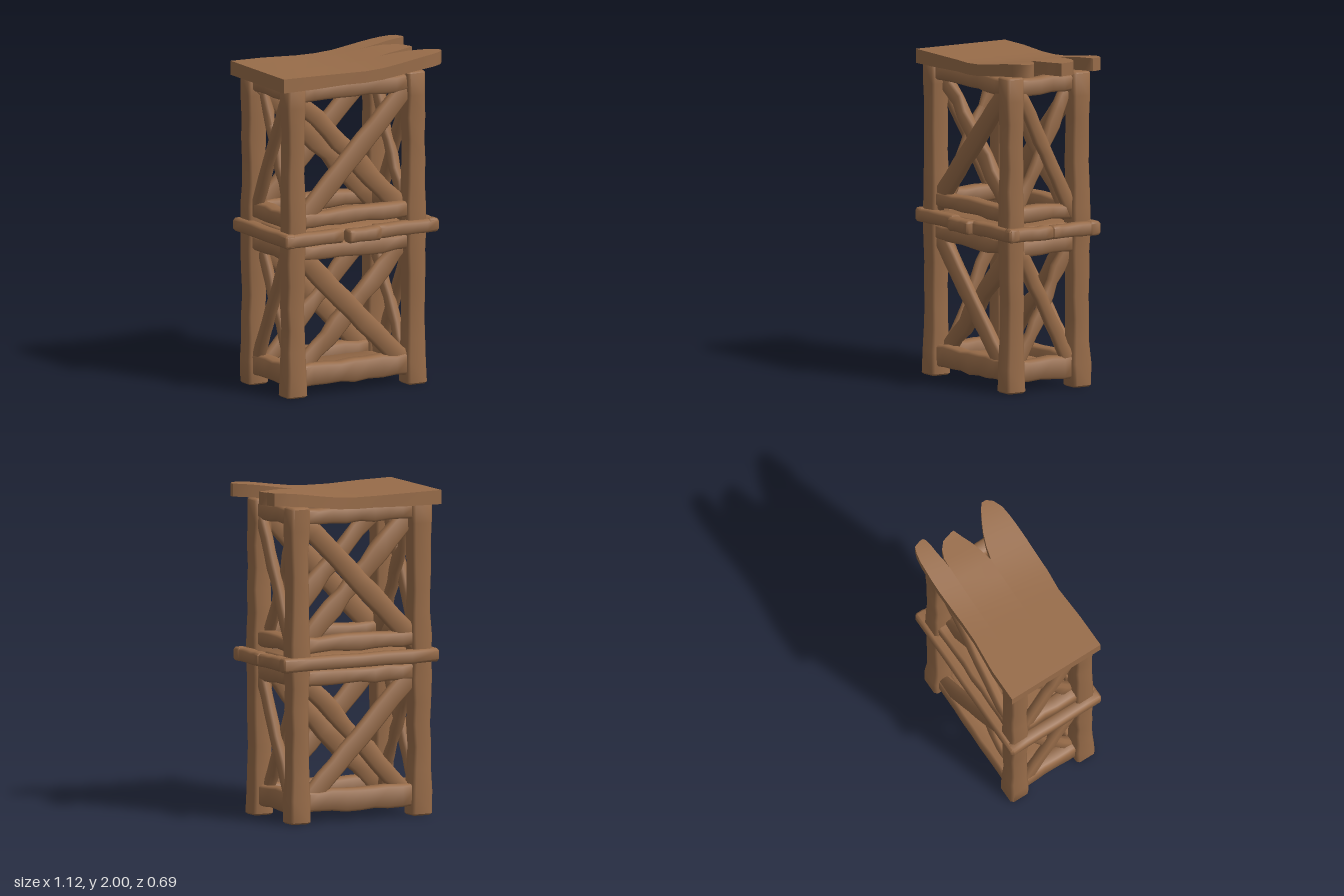
import * as THREE from 'three';
import { toCreasedNormals } from 'three/addons/utils/BufferGeometryUtils.js';

const wood = new THREE.MeshStandardMaterial({ color: 0x986c49 });
wood.name = 'wood';

const V = (x, y, z) => new THREE.Vector3(x, y, z);
const smooth = THREE.MathUtils.smoothstep;
const hash = (n) => { const s = Math.sin(n * 127.1 + 11.7) * 43758.5453; return (s - Math.floor(s)) * 2 - 1; };
let seed = 1;

// Hewn timber from a to b: chamfered section whose sides wander along its length.
// w lies in the face, d along the outward normal n; flare(t) widens it.
function beam(name, a, b, w, d, n, { rough = 0.006, steps = 8, flare = () => 1 } = {}) {
  const id = seed++ * 53, len = a.distanceTo(b), c = 0.008, e = 0.01;
  const x = w / 2 - e, y = d / 2 - e;
  const shape = new THREE.Shape([[-x + c, -y], [x - c, -y], [x, -y + c], [x, y - c],
    [x - c, y], [-x + c, y], [-x, y - c], [-x, -y + c]].map(([p, q]) => new THREE.Vector2(p, q)));
  const geo = new THREE.ExtrudeGeometry(shape, { depth: len - 2 * e, steps,
    bevelSize: e, bevelThickness: e, bevelSegments: 1 });
  geo.translate(0, 0, e);
  const p = geo.attributes.position;
  for (let i = 0; i < p.count; i++) {
    const t = p.getZ(i) / len, k = Math.round(t * steps), px = p.getX(i), py = p.getY(i);
    const f = flare(t);
    p.setX(i, px * f + hash(id + k + (px > 0 ? 0 : 20)) * rough);
    p.setY(i, py * f + hash(id + k + (py > 0 ? 300 : 340)) * rough * 0.6);
  }
  const dir = b.clone().sub(a).normalize();
  const side = n.clone().cross(dir).normalize();
  geo.applyMatrix4(new THREE.Matrix4().makeBasis(side, dir.clone().cross(side), dir).setPosition(a));
  const mesh = new THREE.Mesh(toCreasedNormals(geo, 0.85), wood);
  mesh.name = name;
  return mesh;
}

// Roof plank: rows of [x, back z, front z], bent upward toward its broken end, less by sag
function plank(name, rows, sag) {
  const geo = new THREE.BoxGeometry(1, 1, 1, rows.length - 1, 1, 1);
  const p = geo.attributes.position;
  for (let i = 0; i < p.count; i++) {
    const [x, z0, z1] = rows[Math.round((p.getX(i) + 0.5) * (rows.length - 1))];
    const top = 1.942 + 0.058 * smooth(x, 0, 0.56) + 0.009 * smooth(-x, 0.1, 0.5) - sag * smooth(x, 0.24, 0.5);
    const thick = 0.07 + 0.015 * smooth(-x, 0.1, 0.5) + 0.008 * smooth(x, 0.2, 0.5);
    p.setXYZ(i, x, p.getY(i) > 0 ? top : top - thick, p.getZ(i) > 0 ? z1 : z0);
  }
  const mesh = new THREE.Mesh(toCreasedNormals(geo, 0.85), wood);
  mesh.name = name;
  return mesh;
}

export function createModel() {
  const g = new THREE.Group();
  g.name = 'scaffoldTower';
  const X = V(1, 0, 0), Z = V(0, 0, 1), Y = V(0, 1, 0);

  // Corner posts, flared at the foot and swollen at the belt
  const foot = (t) => 1 + 0.18 * (1 - smooth(t, 0.03, 0.2))
    + 0.1 * Math.exp(-(((t - 0.5) / 0.12) ** 2)) + 0.08 * smooth(t, 0.8, 1);
  for (const x of [-0.46, 0.365]) for (const z of [0.21, -0.255])
    g.add(beam('cornerPost', V(x, 0, z), V(x, 1.9, z), 0.115, 0.112, Z, { steps: 14, flare: foot, rough: 0.005 }));

  // Horizontal rails on all four faces
  for (const [y0, y1] of [[0.06, 0.19], [0.82, 0.915], [1.02, 1.11], [1.785, 1.885]]) {
    const y = (y0 + y1) / 2, h = y1 - y0;
    for (const z of [0.205, -0.25])
      g.add(beam('longRail', V(-0.44, y, z), V(0.34, y, z), h, 0.09, Z, { rough: 0.008 }));
    for (const x of [-0.455, 0.36])
      g.add(beam('sideRail', V(x, y, 0.2), V(x, y, -0.24), h, 0.09, X, { rough: 0.008, steps: 5 }));
  }

  // Crossed braces: a sound outer timber and a chipped inner one
  for (const [lo, hi, rising] of [[0.09, 0.88, false], [1.03, 1.83, true]]) {
    for (const s of [1, -1]) {
      for (const outer of [true, false]) {
        const up = outer === rising, opts = { rough: outer ? 0.004 : 0.012, steps: 10 };
        const z = -0.022 + s * (outer ? 0.238 : 0.195);
        g.add(beam(outer ? 'outerBrace' : 'innerBrace', V(-0.44, up ? lo : hi, z), V(0.34, up ? hi : lo, z),
          outer ? 0.12 : 0.11, 0.055, Z, opts));
        const x = -0.048 + s * (outer ? 0.425 : 0.382);
        g.add(beam(outer ? 'outerSideBrace' : 'innerSideBrace', V(x, outer ? hi : lo, 0.175), V(x, outer ? lo : hi, -0.22),
          outer ? 0.083 : 0.075, 0.055, X, opts));
      }
    }
  }

  // Belt around the middle, with a patch over the break in front
  const by = 0.96;
  const belt = (name, a, b, n, d = 0.075) => g.add(beam(name, a, b, 0.08, d, n, { rough: 0.003, steps: 6 }));
  belt('frontBelt', V(-0.555, by, 0.265), V(-0.155, by, 0.262), Z);
  belt('frontBelt', V(0.06, by, 0.262), V(0.495, by, 0.265), Z);
  belt('beltPatch', V(-0.142, by, 0.3), V(0.08, by, 0.3), Z, 0.08);
  belt('backBelt', V(-0.555, by, -0.305), V(0.495, by, -0.305), Z);
  belt('leftBelt', V(0.457, by, 0.3), V(0.457, by, -0.01), X);
  belt('leftBelt', V(0.455, by, -0.005), V(0.455, by, -0.335), X);
  belt('rightBelt', V(-0.52, by, 0.3), V(-0.52, by, -0.335), X);

  // Solid floors at the base and at the belt
  for (const y of [0.1, 0.96])
    g.add(beam('floor', V(-0.45, y, -0.022), V(0.36, y, -0.022), 0.47, 0.05, Y, { rough: 0.003 }));

  // Roof planks with splintered ends on the left
  g.add(plank('backRoofPlank', [[-0.565, -0.345, -0.2], [-0.35, -0.345, -0.2], [-0.13, -0.325, -0.2], [0, -0.324, -0.2],
    [0.12, -0.329, -0.2], [0.24, -0.335, -0.2], [0.32, -0.335, -0.2], [0.39, -0.332, -0.207], [0.44, -0.33, -0.215],
    [0.5, -0.322, -0.22], [0.545, -0.305, -0.228], [0.56, -0.26, -0.24]], 0));
  g.add(plank('middleRoofPlank', [[-0.565, -0.2, 0.035], [-0.35, -0.2, 0.035], [-0.13, -0.2, 0.035], [0, -0.2, 0.035],
    [0.12, -0.2, 0.035], [0.24, -0.2, 0.035], [0.32, -0.2, 0.015], [0.39, -0.198, -0.005], [0.45, -0.175, -0.03],
    [0.49, -0.14, -0.045], [0.51, -0.07, -0.052]], 0.02));
  g.add(plank('frontRoofPlank', [[-0.565, 0.035, 0.285], [-0.35, 0.035, 0.283], [-0.13, 0.035, 0.272], [0, 0.035, 0.283],
    [0.12, 0.035, 0.284], [0.24, 0.035, 0.284], [0.32, 0.055, 0.282], [0.4, 0.085, 0.278], [0.47, 0.12, 0.27],
    [0.53, 0.155, 0.245], [0.56, 0.18, 0.21]], 0));
  return g;
}
